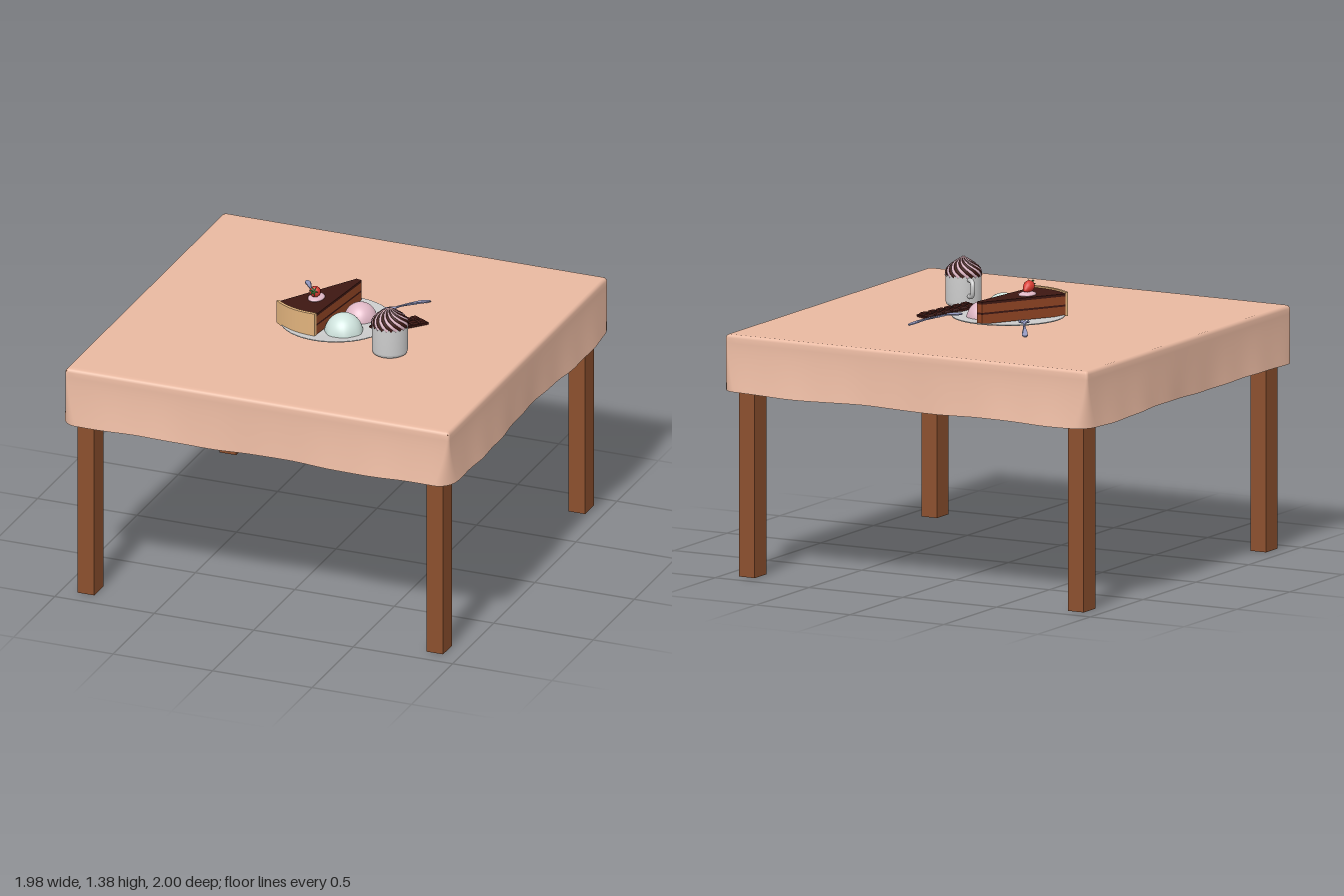
import * as THREE from 'three';

const mat = (color, extra = {}) => new THREE.MeshStandardMaterial({ color, ...extra });
const WOOD = mat(0x8b4f2d), CLOTH = mat(0xe8b8a0, { side: THREE.DoubleSide });
const GREY = mat(0xcccccc, { side: THREE.DoubleSide }), STEEL = mat(0x9499c0);
const DARK = mat(0x3d1712), SPONGE = mat(0x8f4423), CRUST = mat(0xe0b27c);
const PINK = mat(0xe0b8c6), MINT = mat(0xcfe3dd), RED = mat(0xd83a30), GREEN = mat(0x3f8a3a);
const V = (x, y, z) => new THREE.Vector3(x, y, z);

function add(parent, name, geometry, material, x = 0, y = 0, z = 0) {
  const mesh = new THREE.Mesh(geometry, material);
  mesh.name = name;
  mesh.position.set(x, y, z);
  parent.add(mesh);
  return mesh;
}

function addGroup(parent, name) {
  const g = new THREE.Group();
  g.name = name;
  parent.add(g);
  return g;
}

const lathe = (pts, seg = 40) => new THREE.LatheGeometry(pts.map(p => new THREE.Vector2(...p)), seg);

// Rounded rectangle outline with outward normals, used for the cloth rings
function outline(half, r) {
  const pts = [], sides = 40, arc = 6, c = half - r;
  for (let k = 0; k < 4; k++) {
    const a0 = k * Math.PI / 2;
    const put = (a, s) => {
      const nx = Math.cos(a), nz = Math.sin(a);
      const bx = s * -Math.sin(a0) + c * Math.cos(a0), bz = s * Math.cos(a0) + c * Math.sin(a0);
      pts.push({ x: bx + r * nx, z: bz + r * nz, nx, nz });
    };
    for (let i = 0; i < sides; i++) put(a0, c * (2 * i / sides - 1));
    for (let i = 0; i < arc; i++) put(a0 + i / arc * Math.PI / 2, c);
  }
  return pts;
}

// Cloth: rings run from the middle of the top over the edge down to a wavy hem
function clothGeometry() {
  const rows = [[0, 1.15], [0.93, 1.15], [0.952, 1.15], [0.961, 1.145], [0.966, 1.134], [0.966, 1.11]];
  for (let i = 1; i <= 8; i++) rows.push([0.966, 1.11 - i * 0.0285]);
  const pos = [], idx = [];
  let n = 0;
  for (const [half, y] of rows) {
    const f = Math.max(0, (1.11 - y) / 0.228) ** 1.4;
    const ring = outline(half, half ? 0.012 + 0.05 * f : 0);
    n = ring.length;
    for (const p of ring) {
      const wave = s => 0.5 - 0.5 * Math.cos(Math.PI * s / 0.65) + 0.12 * Math.sin(23 * s);
      const outX = p.nx * 0.023 * wave(p.z), outZ = p.nz * (0.019 + 0.014 * wave(p.x));
      const dip = 0.004 * Math.sin(9 * p.x + 7 * p.z);
      pos.push(p.x + f * outX, y + f * dip, p.z + f * outZ - 0.003);
    }
  }
  for (let i = 0; i < rows.length - 1; i++) for (let j = 0; j < n; j++) {
    const a = i * n + j, b = i * n + (j + 1) % n;
    idx.push(a, b, a + n, b, b + n, a + n);
  }
  const g = new THREE.BufferGeometry();
  g.setAttribute('position', new THREE.Float32BufferAttribute(pos, 3));
  g.setIndex(idx);
  g.computeVertexNormals();
  return g;
}

// Upright slab from a plan shape drawn as (x, -z)
function slab(shape, y0, y1) {
  const g = new THREE.ExtrudeGeometry(shape, { depth: y1 - y0, bevelEnabled: false, curveSegments: 16 });
  return g.rotateX(-Math.PI / 2).translate(0, y0, 0);
}

function buildCake(root) {
  const cake = addGroup(root, 'cakeSlice');
  const wedge = new THREE.Shape();
  wedge.moveTo(0.0, 0.25);
  wedge.lineTo(-0.235, -0.125);
  wedge.quadraticCurveTo(-0.143, -0.2, -0.018, -0.195);
  wedge.lineTo(0.028, 0.245);
  const layers = [['lowerSponge', 1.168, 1.212, SPONGE], ['filling', 1.212, 1.221, DARK],
    ['upperSponge', 1.221, 1.26, SPONGE], ['glaze', 1.26, 1.272, DARK]];
  for (const [name, y0, y1, m] of layers) add(cake, name, slab(wedge, y0, y1), m);
  const rim = new THREE.Shape();
  rim.moveTo(-0.235, -0.125);
  rim.lineTo(-0.243, -0.134);
  rim.quadraticCurveTo(-0.15, -0.218, -0.02, -0.212);
  rim.lineTo(-0.018, -0.195);
  rim.quadraticCurveTo(-0.143, -0.2, -0.235, -0.125);
  add(cake, 'crust', slab(rim, 1.166, 1.279), CRUST);

  // Cream with a strawberry lying on it
  add(cake, 'cream', new THREE.SphereGeometry(0.042, 20, 12), PINK, -0.09, 1.274, 0.02).scale.set(0.9, 0.32, 1.25);
  const berry = addGroup(cake, 'strawberry');
  berry.position.set(-0.09, 1.307, 0.03);
  berry.rotation.x = 1.15;
  add(berry, 'fruit', lathe([[0, -0.038], [0.012, -0.032], [0.022, -0.014], [0.027, 0.006], [0.023, 0.022], [0.01, 0.03], [0, 0.03]], 20), RED);
  for (let i = 0; i < 6; i++) {
    const leaf = add(berry, 'leaf', new THREE.ConeGeometry(0.007, 0.026, 5).translate(0, 0.013, 0), GREEN, 0, 0.029, 0);
    leaf.rotation.set(0, i * Math.PI / 3, -1.5, 'YXZ');
  }
  add(berry, 'stem', new THREE.CylinderGeometry(0.003, 0.003, 0.03, 8), GREEN, 0, 0.042, 0);
}

function buildMug(root) {
  const mug = addGroup(root, 'mug');
  mug.position.set(0.36, 1.151, 0.215);
  add(mug, 'cup', lathe([[0, 0], [0.07, 0], [0.08, 0.006], [0.084, 0.02], [0.084, 0.145], [0.081, 0.149], [0.077, 0.145], [0.076, 0.13], [0, 0.13]]), GREY);
  const handle = add(mug, 'handle', new THREE.TubeGeometry(new THREE.CatmullRomCurve3([
    V(0.08, 0.13, 0), V(0.115, 0.13, 0), V(0.13, 0.115, 0), V(0.13, 0.08, 0), V(0.117, 0.06, 0), V(0.08, 0.053, 0)]), 30, 0.011, 10), GREY);
  handle.rotation.y = Math.PI * 0.77;

  // Striped swirl: alternating spiral ropes over a pink core
  const profile = [[0.078, 0.142], [0.077, 0.162], [0.064, 0.182], [0.043, 0.2], [0.02, 0.216], [0.001, 0.229]];
  add(mug, 'swirlCore', lathe([[0.074, 0.135], ...profile.slice(1).map(([r, y]) => [Math.max(0, r - 0.003), y - 0.002])], 30), PINK);
  const count = 24;
  for (let k = 0; k < count; k++) {
    const path = new THREE.CatmullRomCurve3(profile.map(([r, y], i) => {
      const a = k / count * Math.PI * 2 + i * 0.32;
      return V(r * Math.cos(a), y, r * Math.sin(a));
    }));
    const rope = new THREE.TubeGeometry(path, 20, 0.0105, 6);
    // Ropes thin out toward the peak
    const p = rope.attributes.position, q = V(0, 0, 0);
    for (let i = 0; i < p.count; i++) {
      const t = Math.floor(i / 7) / 20, c = path.getPointAt(t);
      q.fromBufferAttribute(p, i).sub(c).multiplyScalar(1 - 0.72 * t).add(c);
      p.setXYZ(i, q.x, q.y, q.z);
    }
    add(mug, 'swirlRope', rope, k % 2 ? PINK : DARK);
  }
}

// Flat cutlery drawn along +y, arched, then laid from one point to another
function cutlery(root, name, shape, from, to, length) {
  const g = new THREE.ExtrudeGeometry(shape, { depth: 0.005, bevelEnabled: false, curveSegments: 10 });
  g.rotateX(Math.PI / 2);
  const p = g.attributes.position;
  for (let i = 0; i < p.count; i++) p.setY(i, p.getY(i) + 0.012 * Math.sin(Math.PI * p.getZ(i) / length));
  g.computeVertexNormals();
  const mesh = add(root, name, g, STEEL, from.x, from.y, from.z);
  mesh.lookAt(to);
}

// Half of a handle with a flared end, mirrored by the spline through both sides
function handleShape(head) {
  const side = [[0.006, 0.002], [0.013, 0.02], [0.012, 0.06], [0.006, 0.12], [0.005, 0.19], ...head];
  const s = new THREE.Shape();
  s.moveTo(0, 0);
  side.forEach(([x, y]) => s.lineTo(x, y));
  [...side].reverse().forEach(([x, y]) => s.lineTo(-x, y));
  return s;
}

export function createModel() {
  const root = new THREE.Group();
  root.name = 'tableWithDessert';

  // Table
  add(root, 'tableTop', new THREE.BoxGeometry(1.92, 0.05, 1.92), WOOD, 0, 1.115, 0);
  for (const sx of [-1, 1]) for (const sz of [-1, 1])
    add(root, 'leg', new THREE.BoxGeometry(0.083, 1.1, 0.11), WOOD, sx * 0.877, 0.55, sz * 0.863);
  add(root, 'tablecloth', clothGeometry(), CLOTH);

  // Plate
  add(root, 'plate', lathe([[0, 1.152], [0.16, 1.152], [0.2, 1.156], [0.263, 1.168], [0.265, 1.171], [0.262, 1.173], [0.2, 1.166], [0.17, 1.164], [0, 1.164]], 48), GREY);
  buildCake(root);

  // Ice cream scoops
  for (const [name, m, x, z, r] of [['pinkScoop', PINK, 0.095, -0.07, 0.074], ['mintScoop', MINT, 0.08, 0.098, 0.086]]) {
    const g = new THREE.SphereGeometry(r, 32, 16, 0, Math.PI * 2, 0, Math.PI / 2);
    const p = g.attributes.position;
    // Lightly ruffled foot
    for (let i = 0; i < p.count; i++) {
      const a = Math.atan2(p.getZ(i), p.getX(i)), k = 1 + (1 - p.getY(i) / r) ** 3 * (0.04 + 0.025 * Math.sin(7 * a));
      p.setX(i, p.getX(i) * k);
      p.setZ(i, p.getZ(i) * k);
    }
    g.computeVertexNormals();
    add(root, name, g, m, x, 1.166, z);
  }

  buildMug(root);

  // Chocolate bar leaning on the plate
  const bar = addGroup(root, 'chocolateBar');
  bar.position.set(0.296, 1.17, -0.05);
  bar.lookAt(V(0.228, 1.185, 0.072));
  add(bar, 'barBase', new THREE.BoxGeometry(0.093, 0.01, 0.28), DARK);
  for (let i = 0; i < 2; i++) for (let j = 0; j < 6; j++) {
    const piece = new THREE.CylinderGeometry(0.02, 0.028, 0.009, 4, 1).rotateY(Math.PI / 4).toNonIndexed();
    piece.computeVertexNormals();
    add(bar, 'barSquare', piece, DARK, (i - 0.5) * 0.044, 0.009, (j - 2.5) * 0.045);
  }

  // Fork and spoon
  const tines = [[0.006, 0.225], [0.022, 0.245], [0.025, 0.258], [0.025, 0.325], [0.019, 0.325], [0.018, 0.268],
    [0.011, 0.268], [0.01, 0.325], [0.004, 0.325], [0.003, 0.268]];
  cutlery(root, 'fork', handleShape(tines), V(-0.302, 1.16, -0.378), V(-0.138, 1.178, -0.1), 0.325);
  const bowl = [[0.007, 0.215], [0.02, 0.228], [0.027, 0.247], [0.026, 0.266], [0.018, 0.286], [0.007, 0.297]];
  cutlery(root, 'spoon', handleShape(bowl), V(0.316, 1.16, -0.385), V(0.178, 1.184, -0.122), 0.297);
  return root;
}
